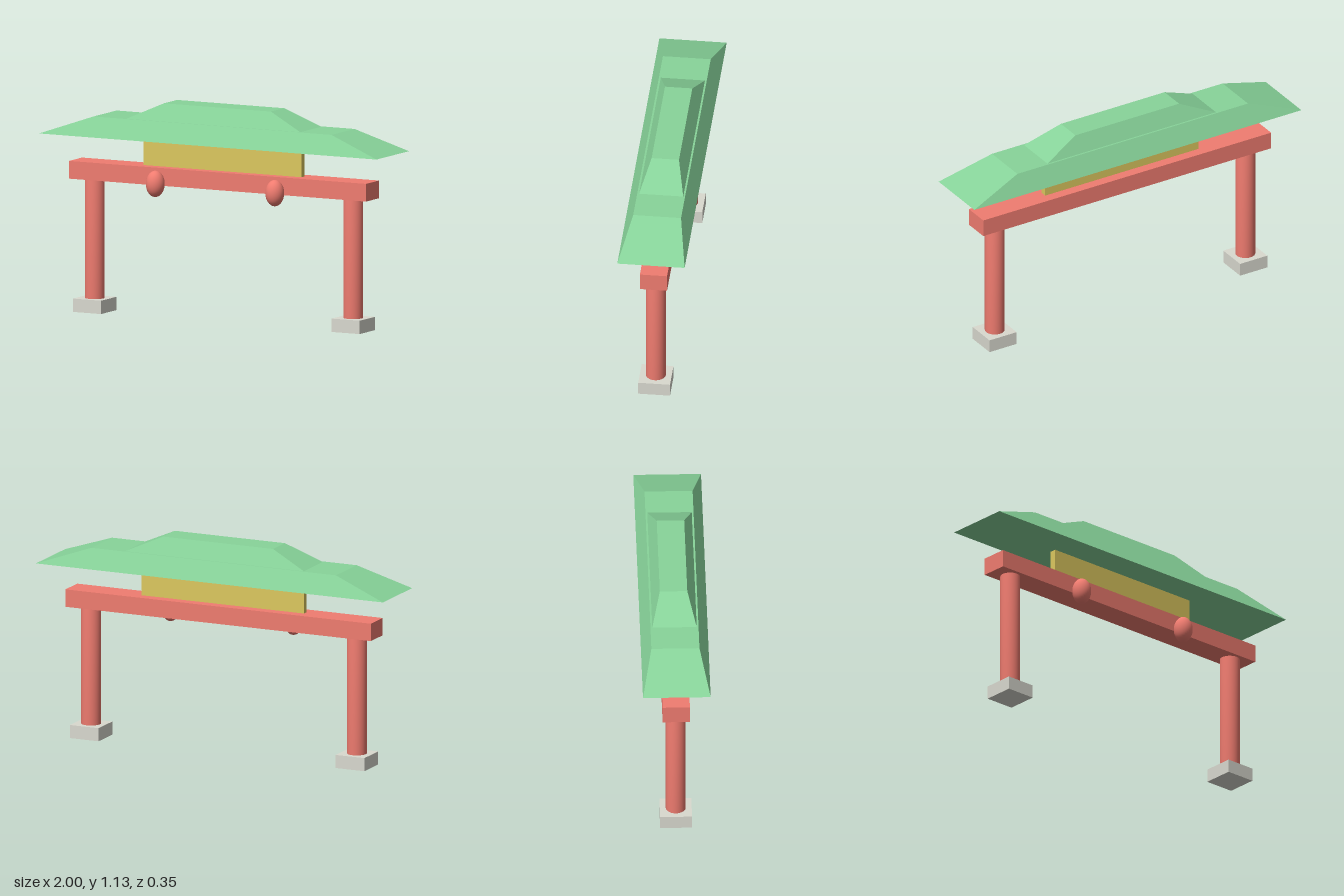
import * as THREE from 'three';
import { mergeVertices } from 'three/addons/utils/BufferGeometryUtils.js';

const paint = (color) => new THREE.MeshStandardMaterial({ color });
const red = paint(0xf07c70);
const green = paint(0x88d49a);
const yellow = paint(0xdcc85f);
const stone = paint(0xd9d9cf);

// Box standing on height y0 and reaching y1
function box(w, y0, y1, d) {
  return new THREE.BoxGeometry(w, y1 - y0, d).translate(0, (y0 + y1) / 2, 0);
}

// Hipped block: a box whose top is narrowed to topW x topD
function hipped(w, d, topW, topD, y0, y1) {
  const g = box(w, y0, y1, d);
  const p = g.attributes.position;
  for (let i = 0; i < p.count; i++) {
    if (p.getY(i) > (y0 + y1) / 2) {
      p.setX(i, Math.sign(p.getX(i)) * topW / 2);
      p.setZ(i, Math.sign(p.getZ(i)) * topD / 2);
    }
  }
  g.computeVertexNormals();
  return g;
}

// Column whose sides and caps share soft normals
function softColumn(r, y0, y1) {
  const g = new THREE.CylinderGeometry(r, r, y1 - y0, 32).translate(0, (y0 + y1) / 2, 0);
  g.deleteAttribute('normal');
  g.deleteAttribute('uv');
  const merged = mergeVertices(g);
  merged.computeVertexNormals();
  return merged;
}

export function createModel() {
  const gate = new THREE.Group();
  gate.name = 'gate';
  const add = (name, geometry, material, x = 0, y = 0, z = 0) => {
    const mesh = new THREE.Mesh(geometry, material);
    mesh.name = name;
    mesh.position.set(x, y, z);
    gate.add(mesh);
  };

  // Mirrored pillars, footings and lanterns
  const foot = box(0.166, 0, 0.07, 0.166);
  const pillar = softColumn(0.052, 0.005, 0.7);
  const lantern = new THREE.SphereGeometry(1, 32, 20).scale(0.049, 0.069, 0.05);
  for (const [side, s] of [['left', 1], ['right', -1]]) {
    add(side + 'Footing', foot, stone, s * 0.766);
    add(side + 'Pillar', pillar, red, s * 0.766);
    add(side + 'Lantern', lantern, red, s * 0.354, 0.708, 0.097);
  }

  // Crossbeam and sign board
  add('crossbeam', box(1.76, 0.696, 0.789, 0.142), red);
  add('signBoard', box(0.936, 0.789, 0.939, 0.034), yellow);

  // Two-tier roof
  add('lowerRoof', hipped(2, 0.352, 1.41, 0.25, 0.938, 1.041), green);
  add('upperRoof', hipped(1.03, 0.231, 0.634, 0.143, 1.041, 1.13), green);

  return gate;
}
